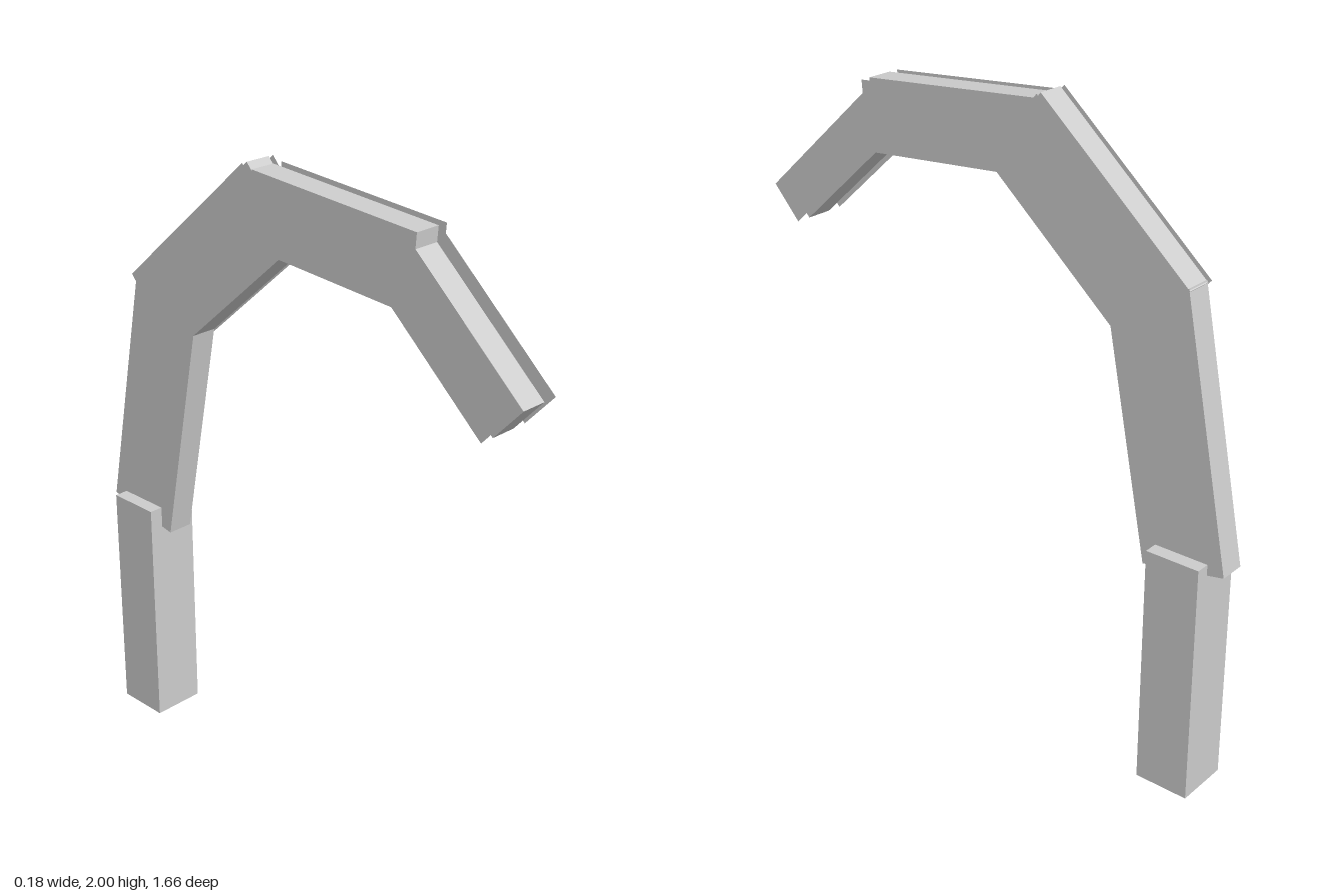
import * as THREE from 'three';

const WIDTH = 0.085; // width of every arm core

export function createModel() {
  const model = new THREE.Group();
  model.name = 'jointedArm';
  const grey = new THREE.MeshStandardMaterial({ color: 0xcccccc, side: THREE.DoubleSide });
  grey.name = 'light grey';

  // Square post standing on the ground
  const post = new THREE.Mesh(new THREE.BoxGeometry(0.175, 0.775, 0.175), grey);
  post.name = 'basePost';
  post.position.set(0, 0.3875, -0.683);
  model.add(post);

  // Arm link from one [z, y] point to another, with optional thin side plates at +-plateX
  function link(name, from, to, depth, plateX) {
    const dz = to[0] - from[0], dy = to[1] - from[1];
    const length = Math.hypot(dz, dy);
    const group = new THREE.Group();
    group.name = name;
    group.position.set(0, (from[1] + to[1]) / 2, (from[0] + to[0]) / 2);
    group.rotation.x = -Math.atan2(dy, dz);

    const core = new THREE.Mesh(new THREE.BoxGeometry(WIDTH, depth, length), grey);
    core.name = name + 'Core';
    group.add(core);

    if (plateX) {
      for (const side of [-1, 1]) {
        const plate = new THREE.Mesh(new THREE.PlaneGeometry(length, depth), grey);
        plate.name = name + (side > 0 ? 'LeftPlate' : 'RightPlate');
        plate.rotation.y = side * Math.PI / 2;
        plate.position.x = side * plateX;
        group.add(plate);
      }
    }
    model.add(group);
  }

  // Links from the post to the tip; the plates overlap outwards at each joint
  link('lowerLink', [-0.69, 0.725], [-0.53, 1.537], 0.275, 0);
  link('middleLink', [-0.578, 1.455], [-0.078, 1.895], 0.273, 0.06);
  link('upperLink', [-0.157, 1.875], [0.4525, 1.83], 0.21, 0.075);
  link('tipLink', [0.395, 1.852], [0.785, 1.5], 0.138, 0.09);

  return model;
}
